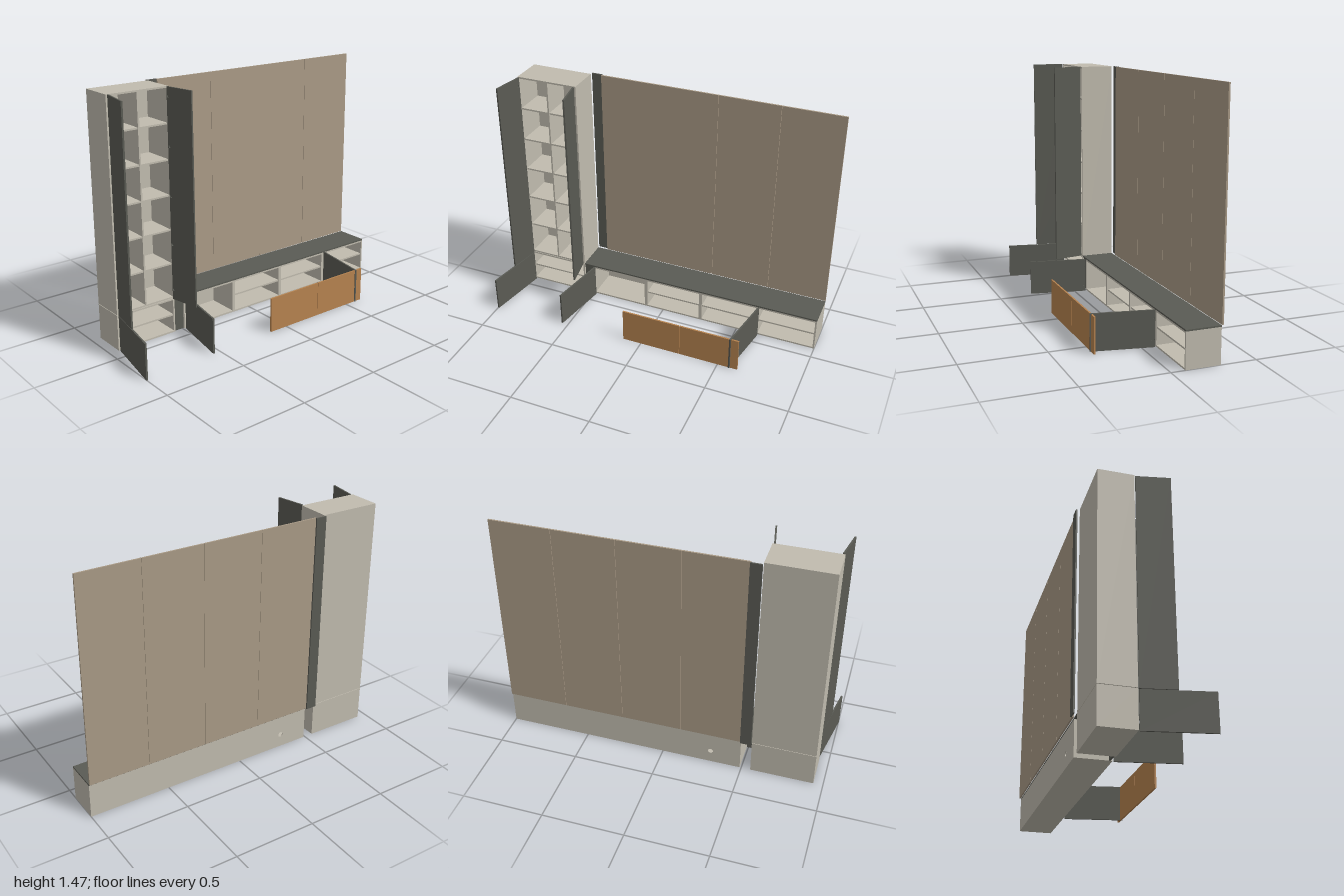
import * as THREE from 'three';

const mat = (name, color) => Object.assign(new THREE.MeshStandardMaterial({ color }), { name });
const T = 0.01; // board thickness
const BACK = -0.288, FRONT = -0.082; // cabinet depth
const BASE_H = 0.21, TOP = 1.472;

export function createModel() {
  const light = mat('light grey board', 0xc0bbae);
  const dark = mat('dark grey lacquer', 0x5a5b54);
  const taupe = mat('taupe wall panel', 0xa99a86);
  const wood = mat('orange wood', 0xb5824f);
  const model = new THREE.Group();

  // Box given by its minimum and maximum corners
  function box(parent, name, material, x0, x1, y0, y1, z0, z1) {
    const mesh = new THREE.Mesh(new THREE.BoxGeometry(x1 - x0, y1 - y0, z1 - z0), material);
    mesh.position.set((x0 + x1) / 2, (y0 + y1) / 2, (z0 + z1) / 2);
    mesh.name = name;
    parent.add(mesh);
    return mesh;
  }

  // Upright board in the XY plane with round holes [x, y, radius]
  function drilledBoard(parent, name, material, x0, x1, y0, y1, z0, depth, holes) {
    const shape = new THREE.Shape();
    shape.moveTo(x0, y0).lineTo(x1, y0).lineTo(x1, y1).lineTo(x0, y1).closePath();
    for (const [x, y, r] of holes) {
      shape.holes.push(new THREE.Path().absarc(x, y, r, 0, Math.PI * 2, true));
    }
    const geometry = new THREE.ExtrudeGeometry(shape, { depth, bevelEnabled: false, curveSegments: 10 });
    const mesh = new THREE.Mesh(geometry, material);
    mesh.position.z = z0;
    mesh.name = name;
    parent.add(mesh);
  }

  // Open-fronted cabinet with shelves, optional divider and cable hole
  function cabinet(name, x0, x1, y0, y1, shelves, divider = false, holes = []) {
    const g = new THREE.Group();
    g.name = name;
    box(g, 'leftSide', light, x1 - T, x1, y0, y1, BACK, FRONT);
    box(g, 'rightSide', light, x0, x0 + T, y0, y1, BACK, FRONT);
    box(g, 'floor', light, x0 + T, x1 - T, y0, y0 + T, BACK, FRONT);
    box(g, 'top', light, x0 + T, x1 - T, y1 - T, y1, BACK, FRONT);
    drilledBoard(g, 'backPanel', light, x0 + T, x1 - T, y0 + T, y1 - T, BACK, 0.006, holes);
    const mid = (x0 + x1) / 2;
    const bays = divider ? [[x0 + T, mid - T / 2], [mid + T / 2, x1 - T]] : [[x0 + T, x1 - T]];
    if (divider) box(g, 'divider', light, mid - T / 2, mid + T / 2, y0 + T, y1 - T, BACK + 0.006, FRONT - 0.002);
    for (const y of shelves) {
      for (const [a, b] of bays) box(g, 'shelf', light, a, b, y - T / 2, y + T / 2, BACK + 0.006, FRONT - 0.005);
    }
    model.add(g);
  }

  // Open door; the inner half is drilled for hinge cups. swing +1 leans to +x
  function door(name, hingeX, width, y0, y1, swing, cups) {
    const g = new THREE.Group();
    g.name = name;
    const holes = cups.map((y) => [0.013, y, 0.009]);
    const innerZ = swing > 0 ? 0 : -T / 2;
    drilledBoard(g, 'innerFace', dark, 0, width, y0, y1, innerZ, T / 2, holes);
    drilledBoard(g, 'outerFace', dark, 0, width, y0, y1, -T / 2 - innerZ, T / 2, []);
    g.position.set(hingeX, 0, -0.074);
    g.rotation.y = THREE.MathUtils.degToRad(-90 + 10 * swing);
    model.add(g);
  }

  // Tall cabinet over its base unit
  const tallShelves = [0.433, 0.64, 0.847, 1.055, 1.263];
  cabinet('tallCabinet', -0.942, -0.556, 0.219, TOP, tallShelves, true);
  cabinet('tallBaseUnit', -0.942, -0.556, 0, 0.216, [0.11]);

  // Row of low base units
  const edges = [-0.49, -0.118, 0.255, 0.628, 1];
  for (let i = 0; i < 4; i++) {
    cabinet('baseUnit', edges[i], edges[i + 1], 0, BASE_H, i ? [0.11] : [], false,
      i ? [] : [[-0.305, 0.084, 0.016]]);
  }
  box(model, 'countertop', dark, -0.555, 1, BASE_H, 0.219, BACK, FRONT);
  box(model, 'baseFiller', dark, -0.555, -0.491, 0, BASE_H, FRONT - 0.02, FRONT - T);

  // Wall panels with narrow joints, and the dark filler strip
  for (let i = 0; i < 4; i++) {
    box(model, 'wallPanel', taupe, edges[i] + (i ? 0.001 : 0), edges[i + 1] - (i < 3 ? 0.001 : 0),
      0.22, TOP, -0.3, -0.29);
  }
  box(model, 'fillerStrip', dark, -0.555, -0.488, 0.219, TOP, -0.31, -0.301);

  // Open doors
  const tallCups = [0.28, 0.56, 0.85, 1.14, 1.42], lowCups = [0.045, 0.172];
  door('tallDoor', -0.931, 0.194, 0.219, TOP, -1, tallCups);
  door('tallDoor', -0.567, 0.188, 0.219, TOP, 1, tallCups);
  door('baseDoor', -0.931, 0.385, 0, 0.216, -1, lowCups);
  door('baseDoor', -0.479, 0.365, 0, 0.216, -1, lowCups);
  door('baseDoor', 0.636, 0.365, 0, 0.216, -1, lowCups);

  // Pulled-out drawer fronts
  box(model, 'drawerFront', wood, -0.118, 0.252, 0, 0.213, 0.27, 0.28);
  box(model, 'drawerFront', wood, 0.255, 0.625, 0, 0.213, 0.27, 0.28);
  return model;
}
